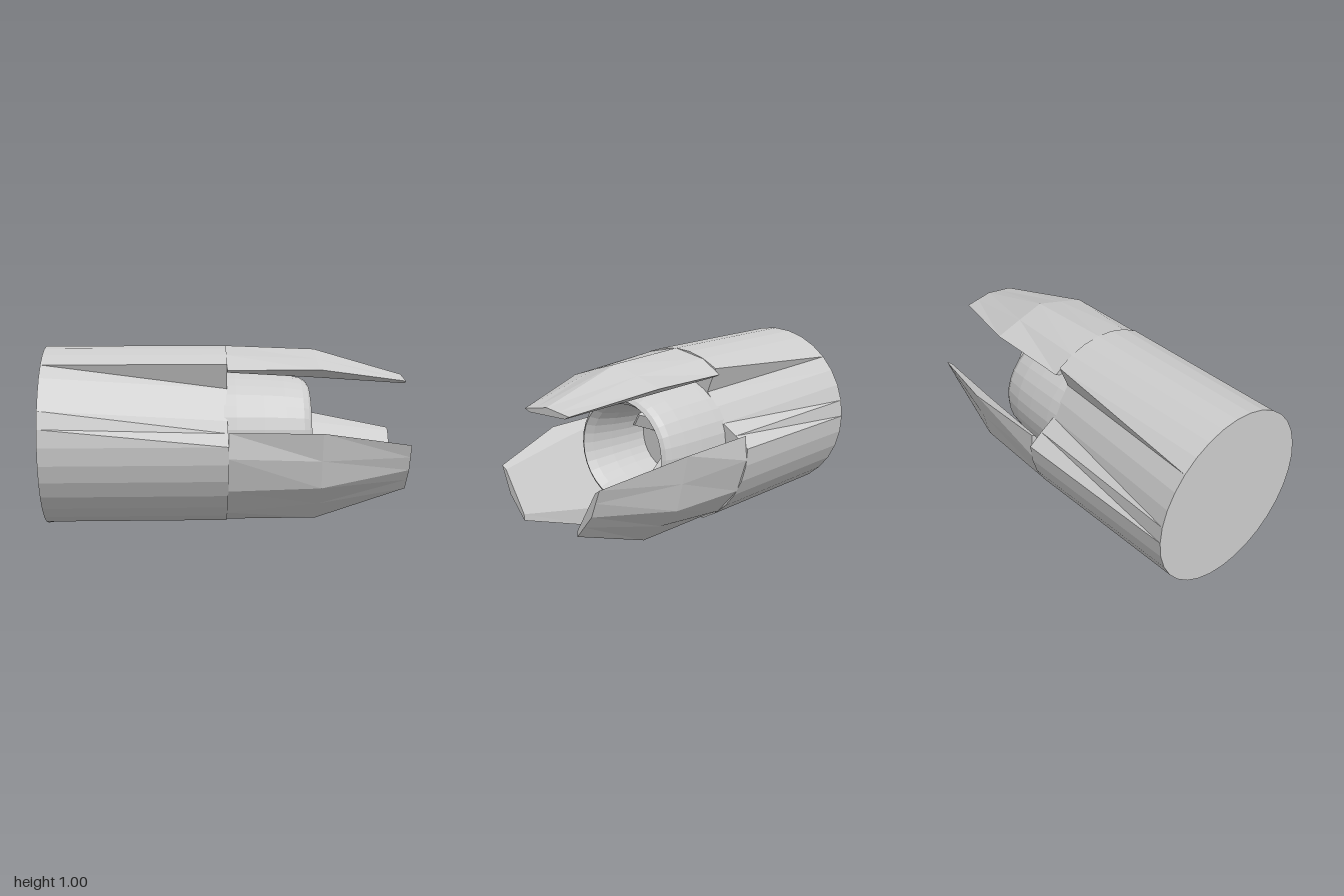
import * as THREE from 'three';

const mat = new THREE.MeshStandardMaterial({ color: 0xcccccc, flatShading: true, side: THREE.DoubleSide });

// Closed solid through cross-sections { x, pts: [[y, z], ...] }, points running from +y toward +z
function loft(sections) {
  const pos = [];
  const rings = sections.map(s => s.pts.map(([y, z]) => [s.x, y, z]));
  const tri = (...c) => c.forEach(v => pos.push(...v));
  const centre = r => [0, 1, 2].map(k => r.reduce((sum, p) => sum + p[k], 0) / r.length);
  const n = rings[0].length;
  const first = rings[0], last = rings[rings.length - 1];
  const c0 = centre(first), c1 = centre(last);
  for (let i = 0; i < n; i++) {
    const j = (i + 1) % n;
    for (let k = 0; k + 1 < rings.length; k++) {
      const a = rings[k], b = rings[k + 1];
      tri(a[i], a[j], b[j]);
      tri(a[i], b[j], b[i]);
    }
    tri(c0, first[j], first[i]);
    tri(c1, last[i], last[j]);
  }
  const g = new THREE.BufferGeometry();
  g.setAttribute('position', new THREE.Float32BufferAttribute(pos, 3));
  g.computeVertexNormals();
  return g;
}

// Mirror half a section across z = 0
const mirrored = half => [...half, ...half.filter(p => p[1] > 0).reverse().map(([y, z]) => [y, -z])];

// 32-sided body; three grooves deepen toward the nozzle end
function bodyGeometry() {
  const back = [], front = [];
  for (let i = 0; i < 32; i++) {
    const t = i * Math.PI / 16;
    const p = [0.5 * Math.cos(t), 0.5 * Math.sin(t)];
    back.push(p);
    const m = i > 16 ? 32 - i : i; // steps away from the top
    const s = i > 16 ? -1 : 1;
    let d = [0, 0];
    if (m >= 4 && m <= 6) d = [-0.075, -0.13 * s];
    else if (m === 7) d = [-0.037, -0.07 * s];
    else if (m >= 15) d = [0.15, 0];
    front.push([p[0] + d[0], p[1] + d[1]]);
  }
  return loft([{ x: -1, pts: back }, { x: 0, pts: front }]);
}

export function createModel() {
  const root = new THREE.Group();
  root.name = 'thruster';
  const axis = new THREE.Group();
  axis.name = 'thrusterAxis';
  axis.position.y = 0.5;
  root.add(axis);
  const add = (geo, name) => {
    const m = new THREE.Mesh(geo, mat);
    m.name = name;
    axis.add(m);
    return m;
  };

  add(bodyGeometry(), 'body');

  // Nozzle with rounded lip, tapering bore and closed floor
  const profile = [[0.352, -0.02], [0.352, 0.05], [0.345, 0.2], [0.335, 0.32], [0.318, 0.42], [0.3, 0.45],
    [0.28, 0.465], [0.25, 0.42], [0.225, 0.3], [0.21, 0.18], [0.205, 0.05], [0, 0.05]]
    .map(([r, x]) => new THREE.Vector2(r, x));
  const nozzle = new THREE.LatheGeometry(profile, 32);
  nozzle.rotateZ(-Math.PI / 2);
  add(nozzle, 'nozzle');

  // Petals shield the nozzle; wedges inside the bore sit between them
  const petal = loft([
    { x: 0, pts: mirrored([[0.5, 0], [0.46, 0.19], [0.385, 0.305], [0.372, 0.28]]) },
    { x: 0.5, pts: mirrored([[0.48, 0], [0.435, 0.15], [0.387, 0.3], [0.337, 0.21]]) },
    { x: 1, pts: mirrored([[0.335, 0], [0.322, 0.08], [0.31, 0.155], [0.295, 0.125]]) },
  ]);
  const wedge = loft([
    { x: 0.04, pts: mirrored([[-0.09, 0.04], [-0.19, 0.075]]) },
    { x: 0.16, pts: mirrored([[-0.18, 0.038], [-0.19, 0.04]]) },
  ]);
  for (let i = 0; i < 3; i++) {
    const turn = i * Math.PI * 2 / 3;
    add(petal, 'petal').rotation.x = turn;
    add(wedge, 'boreWedge').rotation.x = turn;
  }
  return root;
}
